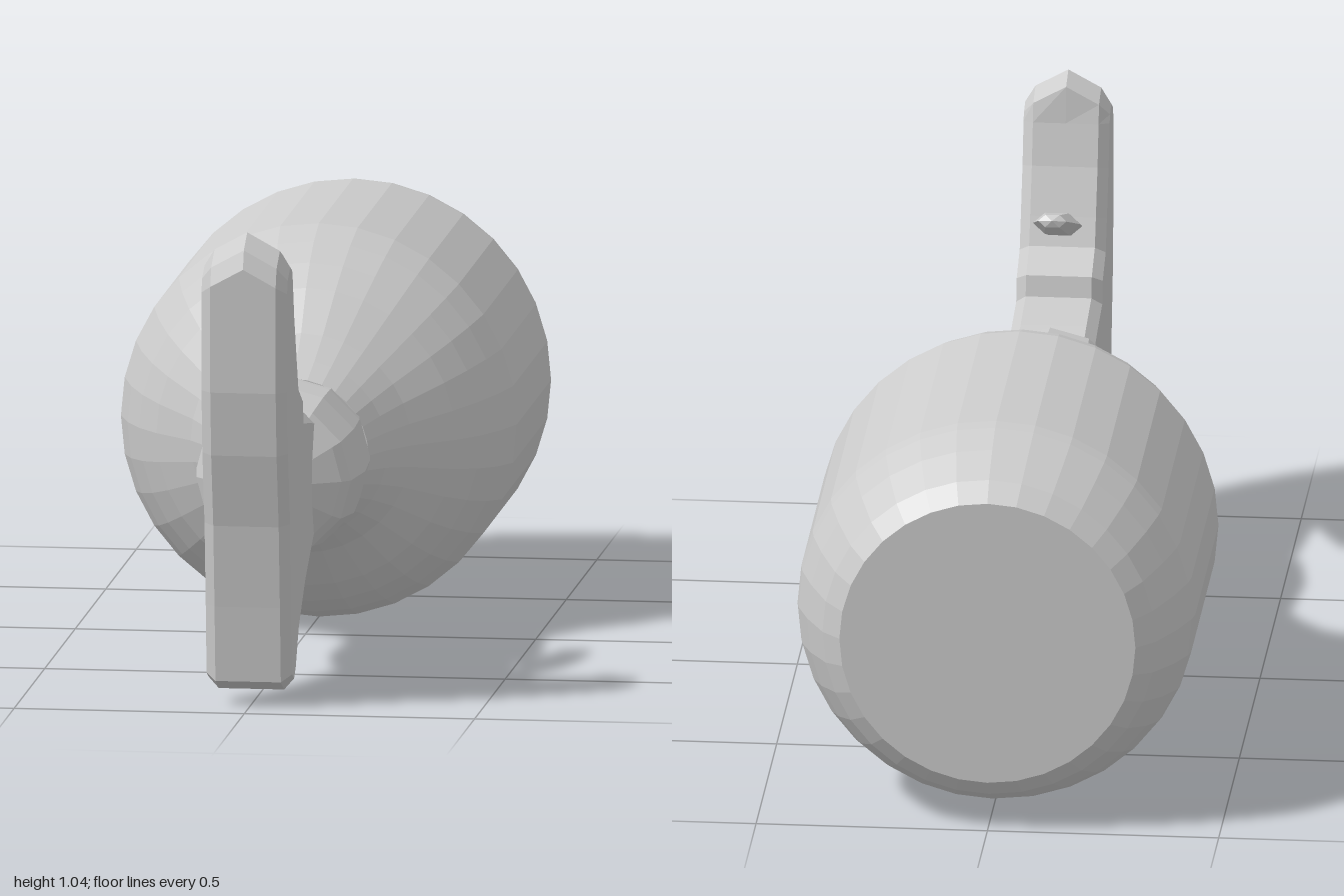
import * as THREE from 'three';

const material = new THREE.MeshStandardMaterial({ color: 0xcccccc, flatShading: true });
const toVectors = (points) => points.map(([a, b]) => new THREE.Vector2(a, b));

// Round part about the z axis; profile is [radius, z] from back to front
function turned(name, profile, sides) {
  const geometry = new THREE.LatheGeometry(toVectors(profile), sides);
  geometry.rotateX(Math.PI / 2);
  geometry.translate(0, 0.43, 0);
  const mesh = new THREE.Mesh(geometry, material);
  mesh.name = name;
  return mesh;
}

// Upright end piece: side outline [z, y] extruded across x with bevelled edges
function makeHandle() {
  const outline = [
    [0.5, 0.31], [0.58, 0.27], [0.67, 0.22], [0.77, 0.14], [0.82, 0.06], [0.86, 0.03],
    [0.915, 0.055], [0.93, 0.22], [0.95, 0.4], [0.985, 0.56], [1.0, 0.7], [1.0, 0.97],
    [0.985, 1.01], [0.93, 1.04], [0.875, 1.02], [0.865, 0.94], [0.84, 0.85], [0.8, 0.75],
    [0.775, 0.69], [0.7, 0.65], [0.69, 0.605], [0.57, 0.585], [0.5, 0.57],
  ];
  const width = 0.186, bevel = 0.022;
  const geometry = new THREE.ExtrudeGeometry(new THREE.Shape(toVectors(outline)), {
    depth: width - 2 * bevel, steps: 2,
    bevelEnabled: true, bevelThickness: bevel, bevelSize: bevel, bevelOffset: -bevel, bevelSegments: 1,
  });
  geometry.translate(0, 0, bevel - width / 2);
  geometry.rotateY(-Math.PI / 2);
  // Slope the top down to both sides to form a peak
  const p = geometry.attributes.position;
  for (let i = 0; i < p.count; i++) {
    if (p.getY(i) > 0.96) p.setY(i, p.getY(i) - Math.abs(p.getX(i)) * 0.55);
  }
  geometry.translate(-0.003, 0, 0);
  geometry.computeVertexNormals();
  const mesh = new THREE.Mesh(geometry, material);
  mesh.name = 'handle';
  return mesh;
}

// Thin faceted sliver floating behind the handle
function makeSliver() {
  const profile = [[0, -0.15], [0.5, -0.142], [0.95, -0.06], [1, 0.03], [0.6, 0.14], [0, 0.15]];
  const geometry = new THREE.LatheGeometry(toVectors(profile), 6);
  geometry.rotateY(Math.PI / 6);
  geometry.scale(0.051, 1, 0.026);
  const mesh = new THREE.Mesh(geometry, material);
  mesh.name = 'sliver';
  mesh.position.set(-0.008, 0.801, 0.614);
  mesh.rotation.x = -1.175;
  return mesh;
}

export function createModel() {
  const group = new THREE.Group();
  group.add(
    turned('body', [
      [0, -1], [0.32, -1], [0.36, -0.96], [0.4, -0.88], [0.425, -0.81], [0.43, -0.78],
      [0.43, -0.22], [0.405, -0.14], [0.37, -0.07], [0.325, -0.01], [0.24, 0.07],
      [0.195, 0.14], [0.165, 0.21], [0, 0.21],
    ], 32),
    turned('neck', [
      [0, 0.19], [0.165, 0.19], [0.175, 0.26], [0.183, 0.4], [0.168, 0.52], [0.15, 0.54],
      [0.09, 0.575], [0, 0.575],
    ], 12),
    makeHandle(),
    makeSliver(),
  );
  return group;
}
